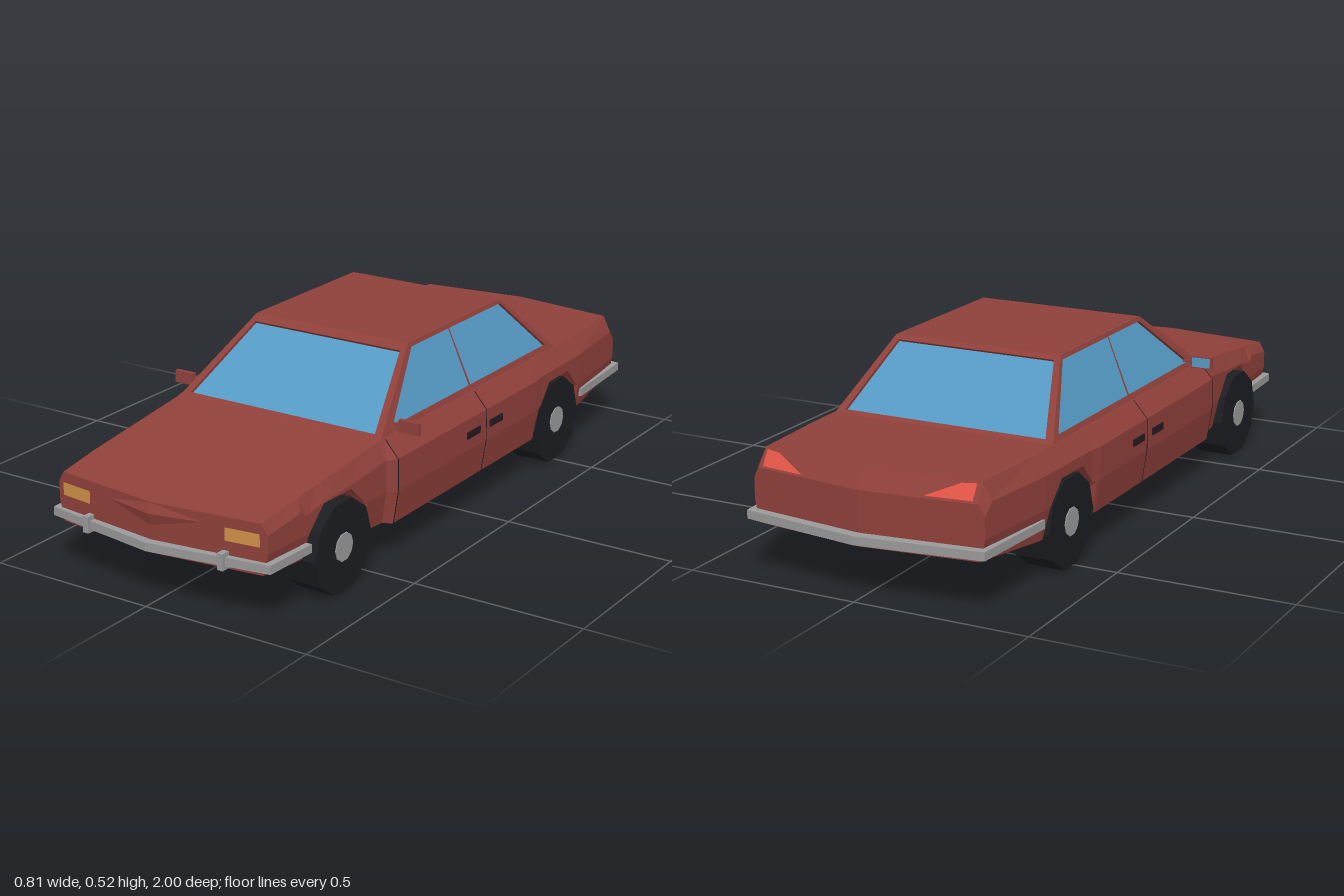
import * as THREE from 'three';

const mat = (color, side = THREE.FrontSide) => new THREE.MeshStandardMaterial({ color, side, flatShading: true });
const paint = mat(0x8f403a), paintThin = mat(0x8f403a, THREE.DoubleSide), glass = mat(0x5599c4, THREE.DoubleSide);
const metal = mat(0x999999), rubber = mat(0x1b1d20), dark = mat(0x241a22, THREE.DoubleSide);
const amber = mat(0xd09048, THREE.DoubleSide), red = mat(0xe05545, THREE.DoubleSide);

// Body stations: z, half width, shoulder half width, top, floor, sweep of the ends
const stations = [
  [0.97, 0.338, 0.32, 0.28, 0.14, 0.04],
  [0.80, 0.346, 0.325, 0.298, 0.13, 0],
  [0.42, 0.36, 0.335, 0.338, 0.108, 0],
  [0.40, 0.382, 0.34, 0.34, 0.105, 0],
  [-0.36, 0.382, 0.34, 0.34, 0.105, 0],
  [-0.40, 0.376, 0.34, 0.34, 0.107, 0],
  [-0.66, 0.37, 0.335, 0.34, 0.115, 0],
  [-0.94, 0.345, 0.32, 0.34, 0.138, 0.04],
  [-0.97, 0.342, 0.325, 0.29, 0.14, 0.04],
];
const axles = [0.64, -0.51];
const archShape = [[-0.136, 0], [-0.135, 0.12], [-0.122, 0.185], [-0.06, 0.258],
  [0.06, 0.258], [0.122, 0.185], [0.135, 0.12], [0.136, 0]];

function lerpRows(rows, z) {
  for (let i = 0; i < rows.length - 1; i++) {
    const a = rows[i], b = rows[i + 1], t = (z - a[0]) / (b[0] - a[0]);
    if (t >= -1e-6 && t <= 1 + 1e-6) return a.map((v, k) => v + (b[k] - v) * t);
  }
  return null;
}

// Half cross-section from floor centre, over the sill and shoulder, to top centre
function halfSection(z) {
  const [, xw, xt, top, floor, sweep] = lerpRows(stations, z);
  let arch = floor;
  for (const c of axles) {
    const a = lerpRows(archShape, z - c);
    if (a) arch = Math.max(arch, a[1]);
  }
  const belt = top - (top < 0.3 ? 0.03 : 0.048);
  return [[0, floor], [0.25, floor], [0.25, arch], [xw - 0.015, arch],
    [xw, Math.max(0.2, arch + 0.004)], [xw, Math.max(belt, arch + 0.008)], [xt, top], [0, top]]
    .map(([x, y]) => new THREE.Vector3(x, y, z - Math.sign(z) * sweep * x / 0.33));
}

function triMesh(name, tris, material) {
  const g = new THREE.BufferGeometry().setFromPoints(tris);
  g.computeVertexNormals();
  const m = new THREE.Mesh(g, material);
  m.name = name;
  return m;
}
const quad = (a, b, c, d) => [a, b, c, a, c, d];
const V = (x, y, z) => new THREE.Vector3(x, y, z);

function box(name, size, pos, material) {
  const m = new THREE.Mesh(new THREE.BoxGeometry(...size), material);
  m.position.set(...pos);
  m.name = name;
  return m;
}

function buildBody() {
  const zs = stations.map(s => s[0]);
  for (const c of axles) for (const a of archShape) zs.push(c + a[0]);
  zs.sort((a, b) => b - a);
  const loops = zs.map(z => {
    const h = halfSection(z);
    return [...h, ...h.slice(1, -1).reverse().map(p => V(-p.x, p.y, p.z))];
  });
  const tris = [], n = loops[0].length, last = loops.length - 1;
  const f = V(0, 0.2, 0.97), r = V(0, 0.2, -0.97);
  for (let i = 0; i < n; i++) {
    const j = (i + 1) % n;
    for (let k = 0; k < last; k++) tris.push(...quad(loops[k][i], loops[k + 1][i], loops[k + 1][j], loops[k][j]));
    tris.push(f, loops[0][i], loops[0][j], r, loops[last][j], loops[last][i]);
  }
  return triMesh('body', tris, paint);
}

// Frame with a recessed pane; corners run counterclockwise seen from outside
function windowPanel(name, [a, b, c, d], u0, u1, v0, v1, split) {
  const pt = (u, v) => a.clone().lerp(b, u).lerp(d.clone().lerp(c, u), v);
  const inward = b.clone().sub(a).cross(d.clone().sub(a)).normalize().multiplyScalar(-0.008);
  const outer = [a, b, c, d], hole = [pt(u0, v0), pt(u1, v0), pt(u1, v1), pt(u0, v1)];
  const deep = hole.map(p => p.clone().add(inward));
  const frame = [];
  for (let i = 0; i < 4; i++) {
    const j = (i + 1) % 4;
    frame.push(...quad(outer[i], outer[j], hole[j], hole[i]), ...quad(hole[i], hole[j], deep[j], deep[i]));
  }
  const g = new THREE.Group();
  g.name = name;
  g.add(triMesh(name + 'Frame', frame, paintThin), triMesh(name + 'Glass', quad(...deep), glass));
  if (split) {
    const w = 0.005, off = inward.clone().multiplyScalar(0.4), [lo, hi] = split;
    const bar = [pt(lo - w, v0), pt(lo + w, v0), pt(hi + w, v1), pt(hi - w, v1)].map(p => p.add(off));
    g.add(triMesh('doorPillar', quad(...bar), paintThin));
  }
  return g;
}

function buildCabin() {
  const g = new THREE.Group();
  g.name = 'cabin';
  const B = (s, z) => V(s * 0.335, 0.338, z), T = (s, z) => V(s * 0.255, 0.525, z);
  const f = 0.41, r = -0.55, tf = 0.15, tr = -0.35;
  g.add(
    windowPanel('windshield', [B(-1, f), B(1, f), T(1, tf), T(-1, tf)], 0.035, 0.965, 0.05, 0.91),
    windowPanel('rearWindow', [B(1, r), B(-1, r), T(-1, tr), T(1, tr)], 0.035, 0.965, 0.06, 0.94),
    windowPanel('leftWindows', [B(1, f), B(1, r), T(1, tr), T(1, tf)], 0.05, 0.97, 0.09, 0.94, [0.495, 0.43]),
    windowPanel('rightWindows', [B(-1, r), B(-1, f), T(-1, tf), T(-1, tr)], 0.03, 0.95, 0.09, 0.94, [0.505, 0.57]),
    triMesh('roof', quad(T(-1, tf), T(1, tf), T(1, tr), T(-1, tr)), paint));
  return g;
}

// Bent bar wrapping round one end of the car
function bumper(name, outer, inner) {
  const half = [...outer, ...inner];
  const mirror = p => [-p[0], p[1]];
  const pts = [...half, ...inner.slice(0, -1).reverse().map(mirror), ...outer.slice(1).reverse().map(mirror)];
  const shape = new THREE.Shape(pts.map(p => new THREE.Vector2(...p)));
  const geo = new THREE.ExtrudeGeometry(shape, { depth: 0.024, bevelEnabled: false }).rotateX(Math.PI / 2);
  const m = new THREE.Mesh(geo, metal);
  m.position.y = 0.177;
  m.name = name;
  return m;
}

function wheel(s, z) {
  const g = new THREE.Group();
  g.name = (z > 0 ? 'front' : 'rear') + 'Wheel';
  const cyl = (name, r, w, x, m) => {
    const c = new THREE.Mesh(new THREE.CylinderGeometry(r, r, w, 10).rotateZ(Math.PI / 2), m);
    c.position.x = s * x;
    c.name = name;
    return c;
  };
  g.add(cyl('tyre', 0.131, 0.11, 0.315, rubber), cyl('hub', 0.04, 0.02, 0.363, metal));
  g.position.set(0, 0.125, z);
  return g;
}

export function createModel() {
  const car = new THREE.Group();
  car.name = 'car';
  car.add(buildBody(), buildCabin());
  car.add(bumper('frontBumper', [[0, 0.995], [0.352, 0.94], [0.36, 0.77]], [[0.343, 0.77], [0.333, 0.922], [0, 0.965]]));
  car.add(bumper('rearBumper', [[0, -1], [0.352, -0.952], [0.372, -0.665]], [[0.355, -0.665], [0.333, -0.925], [0, -0.96]]));

  // Beak in the middle of the nose
  const noseZ = x => 0.97 - 0.04 * x / 0.33;
  const bl = V(-0.15, 0.252, noseZ(0.15)), br = V(0.15, 0.252, noseZ(0.15));
  const tip = V(0, 0.252, 0.982), low = V(0, 0.217, 0.971), rise = V(0, 0.279, 0.971);
  car.add(triMesh('noseBeak', [bl, low, tip, tip, low, br, bl, tip, rise, rise, tip, br], paintThin));

  for (const s of [1, -1]) {
    for (const z of axles) car.add(wheel(s, z));

    // Lamps lying on the swept end faces
    const head = [[0.218, 0.217], [0.318, 0.217], [0.318, 0.253], [0.218, 0.253]];
    car.add(triMesh('headlight', quad(...head.map(([x, y]) => V(s * x, y, noseZ(x) + 0.004))), amber));
    const tail = [[0.18, 0.9], [0.31, 0.9], [0.31, 0.1], [0.27, 0.15]];
    car.add(triMesh('tailLight', quad(...tail.map(([x, t]) =>
      V(s * x, 0.342 - 0.05 * t, -0.944 - 0.03 * t + 0.04 * x / 0.33))), red));

    car.add(box('overrider', [0.018, 0.046, 0.03], [s * 0.218, 0.166, 0.955], metal));

    // Door handles and seams
    for (const z of [0.005, -0.12]) car.add(box('doorHandle', [0.012, 0.02, 0.07], [s * 0.38, 0.245, z], dark));
    for (const z of [0.398, -0.066]) {
      const p = halfSection(z).slice(3, 7), seam = [];
      const at = (q, dz) => V(s * (q.x + 0.0015), q.y, q.z + dz);
      for (let i = 0; i < 3; i++)
        seam.push(...quad(at(p[i], 0.002), at(p[i], -0.002), at(p[i + 1], -0.002), at(p[i + 1], 0.002)));
      car.add(triMesh('doorSeam', seam, dark));
    }

    // Wing mirrors
    car.add(box('mirrorArm', [0.05, 0.008, 0.008], [s * 0.33, 0.36, 0.33], paint),
      box('mirrorShell', [0.063, 0.035, 0.014], [s * 0.376, 0.36, 0.332], paint),
      box('mirrorGlass', [0.055, 0.028, 0.004], [s * 0.376, 0.36, 0.324], glass));
  }
  return car;
}
